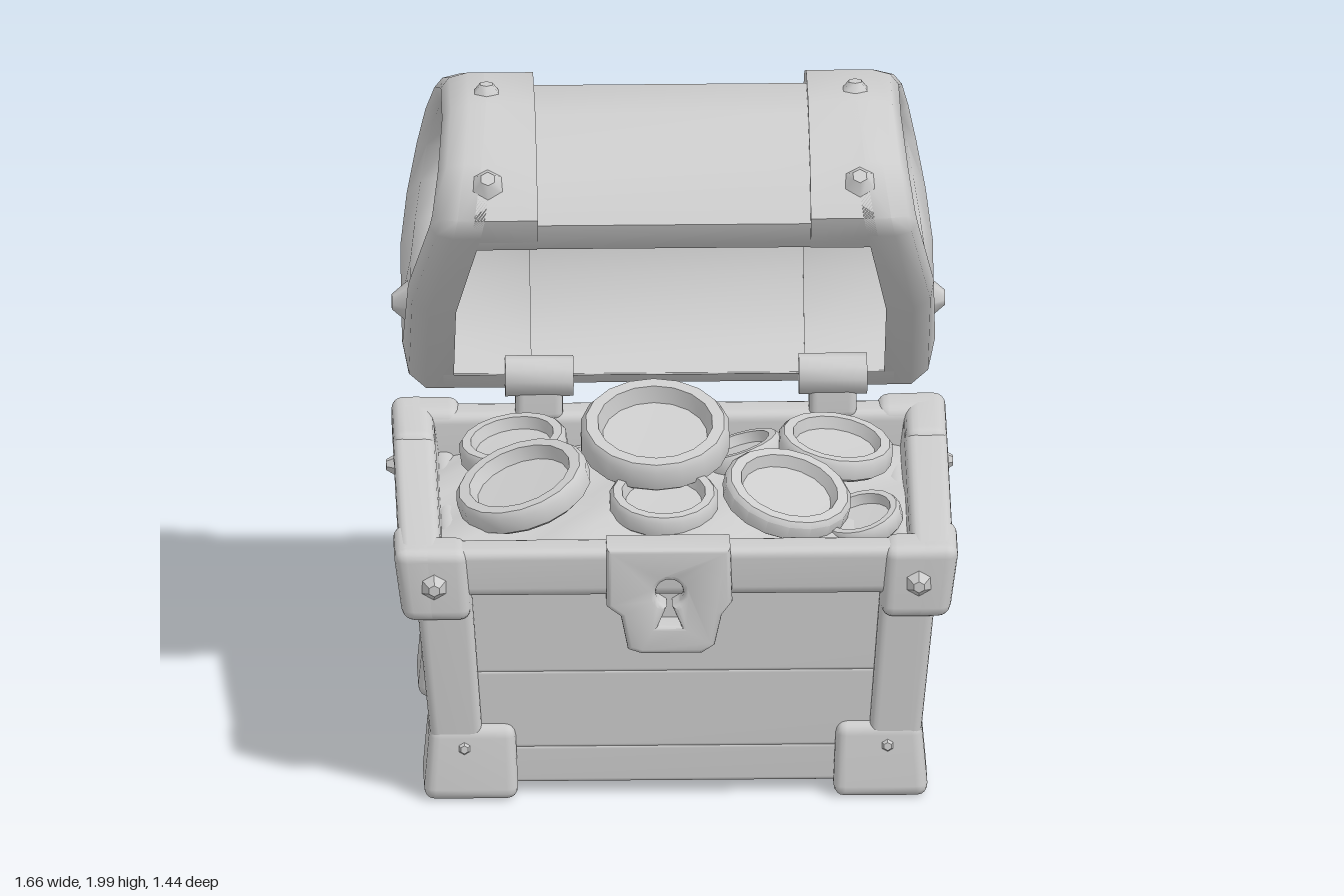
import * as THREE from 'three';
import { mergeVertices, toCreasedNormals } from 'three/addons/utils/BufferGeometryUtils.js';
import { RoundedBoxGeometry } from 'three/addons/geometries/RoundedBoxGeometry.js';

const grey = new THREE.MeshStandardMaterial({ color: 0xcccccc, side: THREE.DoubleSide });
grey.name = 'clay grey';

function add(parent, name, geometry) {
  const mesh = new THREE.Mesh(geometry, grey);
  mesh.name = name;
  parent.add(mesh);
  return mesh;
}

function editVertices(geo, rule) {
  const p = geo.attributes.position, v = new THREE.Vector3();
  for (let i = 0; i < p.count; i++) {
    rule(v.fromBufferAttribute(p, i));
    p.setXYZ(i, v.x, v.y, v.z);
  }
  return geo;
}

// Soft-edged block between a bottom and a top rectangle [x0, x1, z0, z1]; slope lifts it toward the back
function block(parent, name, y0, y1, bottom, top = bottom, slope = 0, radius = 0.025) {
  const size = [bottom[1] - bottom[0], y1 - y0, bottom[3] - bottom[2]];
  const raw = new RoundedBoxGeometry(...size, 2, Math.min(radius, Math.min(...size) * 0.45));
  raw.deleteAttribute('normal');
  raw.deleteAttribute('uv');
  const geo = mergeVertices(raw);
  const lerp = THREE.MathUtils.lerp;
  editVertices(geo, (v) => {
    const a = v.x / size[0] + 0.5, b = v.y / size[1] + 0.5, c = v.z / size[2] + 0.5;
    v.x = lerp(lerp(bottom[0], bottom[1], a), lerp(top[0], top[1], a), b);
    v.z = lerp(lerp(bottom[2], bottom[3], c), lerp(top[2], top[3], c), b);
    v.y = lerp(y0, y1, b) + slope * (0.66 - v.z);
  });
  geo.computeVertexNormals();
  return add(parent, name, geo);
}

// Low faceted stud pointing along a direction
function rivet(parent, position, direction, r = 0.05) {
  const geo = toCreasedNormals(new THREE.CylinderGeometry(r * 0.35, r, 0.05, 6), 0.9);
  const mesh = add(parent, 'rivet', geo);
  mesh.position.set(...position);
  mesh.quaternion.setFromUnitVectors(new THREE.Vector3(0, 1, 0), new THREE.Vector3(...direction).normalize());
}

// Lid end outline (z, y): lip, over the arch to the hinge, back along the opening; and the matching window
const outer = [[0.425, 1.735], [0.3, 1.865], [0.06, 1.965], [-0.2, 1.965], [-0.42, 1.88], [-0.6, 1.735], [-0.69, 1.56],
  [-0.72, 1.36], [-0.68, 1.17], [-0.56, 0.99], [-0.41, 0.905], [-0.33, 0.93], [0.0, 1.29], [0.4, 1.67]];
const inner = [[0.23, 1.71], [0.19, 1.78], [0.05, 1.86], [-0.15, 1.88], [-0.35, 1.81], [-0.47, 1.71], [-0.52, 1.62],
  [-0.51, 1.52], [-0.44, 1.43], [-0.36, 1.35], [-0.28, 1.27], [-0.25, 1.28], [-0.03, 1.48], [0.21, 1.69]];

// The lid ends lean inward as they rise
const lean = (v) => { if (v.x > 0.5) v.x -= 0.18 * Math.max(0, v.y - 1.32); };

// Open curved shell, cut from the outline at two scales about the middle of the opening
function archShell(scaleOut, scaleIn, x0, x1) {
  const arc = [outer[13], ...outer.slice(0, 12)];
  const at = (s) => arc.map(([z, y]) => new THREE.Vector2(0.02 + (z - 0.02) * s, 1.31 + (y - 1.31) * s));
  const shape = new THREE.Shape([...at(scaleOut), ...at(scaleIn).reverse()]);
  const geo = new THREE.ExtrudeGeometry(shape, { depth: x1 - x0, bevelEnabled: false });
  geo.rotateY(-Math.PI / 2).translate(x1, 0, 0);
  return geo;
}

// Closed loft of the band section [x, blend from outline to window] around the lid end
function endRing() {
  const section = [[0.63, 0], [0.71, 0], [0.76, 0.14], [0.78, 0.45], [0.755, 0.9], [0.7, 1], [0.66, 1], [0.66, 0.1]];
  const n = outer.length, m = section.length, pos = [], index = [];
  for (let i = 0; i < n; i++) {
    for (const [x, t] of section) {
      pos.push(x, outer[i][1] + (inner[i][1] - outer[i][1]) * t, outer[i][0] + (inner[i][0] - outer[i][0]) * t);
    }
    for (let j = 0; j < m; j++) {
      const a = i * m + j, b = i * m + (j + 1) % m, c = ((i + 1) % n) * m + j, d = ((i + 1) % n) * m + (j + 1) % m;
      index.push(a, c, b, b, c, d);
    }
  }
  const geo = new THREE.BufferGeometry();
  geo.setAttribute('position', new THREE.Float32BufferAttribute(pos, 3));
  geo.setIndex(index);
  editVertices(geo, lean);
  return toCreasedNormals(geo, 1.2);
}

// Dished coin or ring with a raised rim
function coin(parent, name, r, h, position, tiltX, tiltZ) {
  const pts = [[0, -h / 2], [r * 0.9, -h / 2], [r, -h * 0.3], [r, h * 0.3], [r * 0.93, h / 2], [r * 0.77, h / 2],
    [r * 0.7, 0], [0, -h * 0.05]].map((p) => new THREE.Vector2(...p));
  const mesh = add(parent, name, toCreasedNormals(new THREE.LatheGeometry(pts, 18), 0.8));
  mesh.position.set(...position);
  mesh.rotation.set(tiltX, 0, tiltZ);
}

// Everything on the +x half of the base that is mirrored
function baseSide(g) {
  block(g, 'sidePanel', 0.05, 0.76, [0.57, 0.63, -0.3, 0.55], [0.63, 0.69, -0.3, 0.6]);
  block(g, 'sideRail', 0.64, 0.8, [0.67, 0.8, -0.35, 0.66], [0.69, 0.815, -0.36, 0.66], 0.075, 0.03);
  block(g, 'frontPost', 0.1, 0.68, [0.56, 0.71, 0.45, 0.61], [0.6, 0.765, 0.48, 0.66]);
  block(g, 'backPost', 0.1, 0.74, [0.56, 0.71, -0.34, -0.19], [0.6, 0.765, -0.355, -0.19]);
  block(g, 'frontFoot', 0, 0.225, [0.46, 0.74, 0.39, 0.64], [0.47, 0.72, 0.39, 0.62], 0, 0.035);
  block(g, 'backFoot', 0.03, 0.25, [0.46, 0.74, -0.38, -0.13], [0.47, 0.72, -0.37, -0.12], 0, 0.035);
  // L-shaped upper corner caps
  block(g, 'frontCorner', 0.575, 0.8, [0.6, 0.8, 0.55, 0.68], [0.61, 0.83, 0.54, 0.69], 0.03, 0.035);
  block(g, 'frontCorner', 0.575, 0.8, [0.68, 0.8, 0.47, 0.68], [0.69, 0.83, 0.46, 0.69], 0.05, 0.035);
  block(g, 'backCorner', 0.56, 0.815, [0.6, 0.79, -0.37, -0.26], [0.61, 0.81, -0.39, -0.25], 0.075, 0.035);
  block(g, 'backCorner', 0.56, 0.815, [0.68, 0.79, -0.37, -0.1], [0.69, 0.815, -0.39, -0.09], 0.075, 0.035);
  rivet(g, [0.71, 0.69, 0.695], [0, 0, 1]);
  rivet(g, [0.62, 0.16, 0.615], [0, 0.1, 1], 0.035);
  rivet(g, [0.62, 0.14, -0.385], [0, 0, -1]);
  rivet(g, [0.805, 0.74, -0.2], [1, 0, 0], 0.045);
}

// One lid end: wrapped band, framed window with slats, and studs
function lidSide(g) {
  add(g, 'lidBand', toCreasedNormals(editVertices(archShell(1, 0.84, 0.4, 0.66), lean), 0.7));
  add(g, 'lidEndFrame', endRing());
  const shape = new THREE.Shape(inner.map((p) => new THREE.Vector2(...p)));
  const panel = new THREE.ShapeGeometry(shape).rotateY(-Math.PI / 2).translate(0.67, 0, 0);
  editVertices(panel, lean);
  panel.computeVertexNormals();
  add(g, 'lidEndPanel', panel);
  for (const [z, y, length] of [[-0.08, 1.53, 0.56], [-0.165, 1.615, 0.54], [-0.25, 1.7, 0.4]]) {
    const slat = new THREE.BoxGeometry(0.025, length, 0.1).rotateX(Math.PI / 4).translate(0.675, y, z);
    editVertices(slat, lean);
    add(g, 'lidEndSlat', toCreasedNormals(slat, 0.5));
  }
  rivet(g, [0.785, 1.19, -0.36], [1, 0, 0], 0.065);
  rivet(g, [0.545, 1.825, 0.345], [0, 0.75, 0.65], 0.065);
  rivet(g, [0.54, 1.965, -0.04], [0, 1, 0], 0.06);
  rivet(g, [0.55, 1.66, -0.65], [0, 0.5, -1], 0.06);
}

export function createModel() {
  const model = new THREE.Group();
  model.name = 'treasureChest';
  const base = new THREE.Group(), lid = new THREE.Group(), treasure = new THREE.Group();
  base.name = 'base';
  lid.name = 'lid';
  treasure.name = 'treasure';
  model.add(base, lid, treasure);

  for (const side of [1, -1]) {
    const b = new THREE.Group(), l = new THREE.Group();
    b.name = side > 0 ? 'baseLeft' : 'baseRight';
    l.name = side > 0 ? 'lidLeft' : 'lidRight';
    b.scale.x = l.scale.x = side;
    baseSide(b);
    lidSide(l);
    base.add(b);
    lid.add(l);
  }

  // Plank walls, floor and rails of the base
  const edges = [0.04, 0.15, 0.39, 0.72];
  for (let i = 0; i < 3; i++) {
    const at = (y, w) => [-0.61 - 0.09 * y, 0.61 + 0.09 * y, w(y) - 0.03, w(y) + 0.03];
    const front = (y) => 0.545 + 0.06 * y, back = (y) => -0.285 - 0.02 * y;
    const [y0, y1] = [edges[i] - 0.004, edges[i + 1] + 0.004];
    block(base, 'frontPlank', y0, y1, at(y0, front), at(y1, front), 0, 0.012);
    block(base, 'backPlank', y0, y1, at(y0, back), at(y1, back), 0, 0.012);
  }
  block(base, 'floor', 0.04, 0.1, [-0.62, 0.62, -0.3, 0.56]);
  block(base, 'frontRail', 0.645, 0.795, [-0.78, 0.78, 0.55, 0.66], [-0.78, 0.78, 0.55, 0.675], 0, 0.03);
  block(base, 'backRail', 0.7, 0.875, [-0.76, 0.76, -0.36, -0.25], [-0.76, 0.76, -0.37, -0.25], 0, 0.03);

  // Lock plate with keyhole
  const plate = new THREE.Shape([[-0.19, 0.79], [-0.19, 0.63], [-0.15, 0.6], [-0.13, 0.5], [-0.1, 0.49], [0.07, 0.49],
    [0.1, 0.51], [0.12, 0.6], [0.15, 0.64], [0.145, 0.79]].map((p) => new THREE.Vector2(...p)));
  const keyhole = new THREE.Path();
  keyhole.absarc(-0.02, 0.665, 0.055, -1.1, Math.PI + 1.1, false);
  keyhole.lineTo(-0.07, 0.55);
  keyhole.lineTo(0.03, 0.55);
  plate.holes.push(keyhole);
  const lock = new THREE.ExtrudeGeometry(plate, { depth: 0.1, bevelThickness: 0.02, bevelSize: 0.014, bevelSegments: 3 });
  add(base, 'lock', toCreasedNormals(lock.translate(0, 0, 0.573), 0.9));

  // Lid barrel and hinges
  add(lid, 'lidBarrel', toCreasedNormals(archShell(0.945, 0.85, -0.58, 0.58), 0.7));
  for (const x of [-0.38, 0.48]) {
    const knuckle = new THREE.CylinderGeometry(0.06, 0.06, 0.2, 10).rotateZ(Math.PI / 2);
    add(lid, 'hingeKnuckle', toCreasedNormals(knuckle, 0.8)).position.set(x, 0.985, -0.28);
    block(lid, 'hingePlate', 0.85, 0.98, [x - 0.07, x + 0.07, -0.33, -0.25]);
  }

  // Mound with coins and a large ring on top
  const mound = new THREE.PlaneGeometry(1.4, 0.86, 12, 8).rotateX(-Math.PI / 2).translate(0, 0, 0.14);
  editVertices(mound, (v) => {
    v.y = 0.75 + 0.09 * Math.cos(v.x * 2.1) * Math.cos((v.z - 0.1) * 3) + 0.012 * Math.sin(v.x * 17 + v.z * 13);
  });
  mound.computeVertexNormals();
  add(treasure, 'treasureMound', mound);
  coin(treasure, 'largeRing', 0.22, 0.1, [-0.05, 0.95, 0.13], 0.31, 0);
  coin(treasure, 'coin', 0.2, 0.08, [-0.44, 0.86, 0.31], 0.2, 0.3);
  coin(treasure, 'coin', 0.19, 0.07, [0.33, 0.855, 0.38], 0.28, -0.22);
  coin(treasure, 'coin', 0.16, 0.07, [-0.03, 0.83, 0.36], 0.2, 0);
  coin(treasure, 'coin', 0.17, 0.07, [0.48, 0.87, 0.03], 0.1, -0.15);
  coin(treasure, 'coin', 0.16, 0.07, [-0.46, 0.85, -0.05], 0.1, 0.15);
  coin(treasure, 'coin', 0.13, 0.06, [0.2, 0.85, 0.02], -0.1, 0.3);
  coin(treasure, 'coin', 0.12, 0.06, [0.55, 0.79, 0.42], 0.2, 0.25);
  return model;
}
